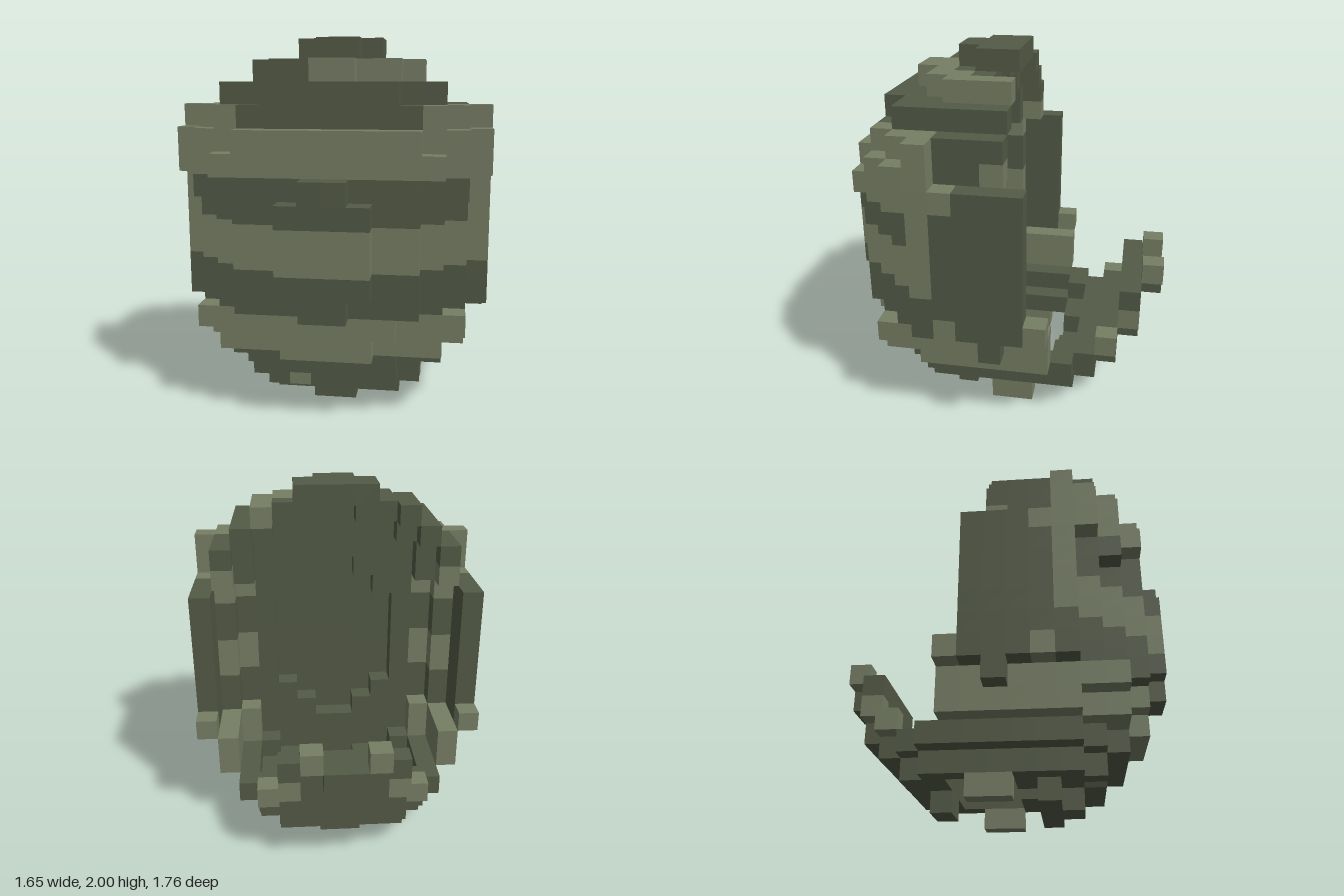
import * as THREE from 'three';
import { mergeGeometries } from 'three/addons/utils/BufferGeometryUtils.js';

const S = 2 / 17; // edge of one cube

// Cross-section of each layer from the bottom up: half widths of the rows
// from the middle (z = 0) outwards, mirrored front to back.
const LAYERS = [
  '4431', '44443', '555543', '6666552', '7666663', '77776541',
  '77776542', '77776542', '77776542', '77776542', '77776641',
  '7777765', '6667764', '666765', '555553', '44431', '221',
];
// Half widths of the lip that rises behind the opening, by layer
const LIP = { 3: 4, 4: 3, 5: 3, 6: 2 };
const LIGHT_BANDS = [3, 4, 7, 8, 11, 12];
const DIRS = [[1, 0, 0], [-1, 0, 0], [0, 1, 0], [0, -1, 0], [0, 0, 1], [0, 0, -1]];

const column = (i) => (i >= 0 ? i + 1 : -i); // 1 is next to the middle
const halfWidth = (j, k) => Number(LAYERS[j][Math.abs(k)] ?? 0);

// Egg-shaped hollow, set towards the back and open below
function hollow(i, j, k) {
  if (j === 16 || (j > 0 && column(i) === halfWidth(j, k))) return false;
  const x = (i + 0.5) / 6.3;
  const y = (Math.max(j, 1) - 8) / 8.6;
  const z = (k + 1) / 3.5;
  return x * x + y * y + z * z < 1;
}

// Feet with gaps between them, the open back, and the lip behind it
function kept(i, j, k) {
  const a = column(i);
  if (j === 0) {
    if (k === 0 || k === -1) return a === 4;
    return k === 2 || k === 3 || k === -3;
  }
  if (j <= 2) return true;
  if (j === 6 && k === -7) return a === 2;
  if (k <= -5 && LIP[j]) return a <= LIP[j] && (j < 4 || k <= -6) && (j < 6 || k === -7);
  if (j <= 5) return k >= -2;
  return k >= (j < 12 ? -1 : 0);
}

function partAt(i, j, k) {
  if (j === 0) return 'feet';
  if (j >= 3 && k <= -5) return 'backLip';
  if (column(i) === 7) return 'sidePanels';
  if (k === 7) return 'frontPlate';
  if (j >= 13) return 'crown';
  return j <= 2 ? 'base' : 'bandedWall';
}

function isLight(i, j, k) {
  const a = column(i);
  const x = i >= 0 ? a : -a;
  if (j === 0) return k === 0 || k === -1;
  if (j === 1) return x === -2 && k === 4;
  if (j >= 3 && k <= -5) return j !== 5 && a === LIP[j];
  if (a === 7) {
    return (k >= 3 && j >= 7) || (j === 5 && Math.abs(k) === 2) || (j === 11 && k === 2);
  }
  if (j === 12 && (k === 1 || k === 2)) return false;
  if (j === 13) return a >= 5 && k >= 3;
  if (j === 15) return x >= 4 || (k === 2 && x > 2) || (k >= 3 && x >= -1);
  // the bands stop short of the dark middle of the hollow
  return LIGHT_BANDS.includes(j) && (a >= 5 || k >= 5);
}

export function createModel() {
  const group = new THREE.Group();
  const darkOlive = new THREE.MeshStandardMaterial({ color: 0x535a46 });
  darkOlive.name = 'darkOlive';
  const lightOlive = new THREE.MeshStandardMaterial({ color: 0x767e64 });
  lightOlive.name = 'lightOlive';

  // Choose the cubes of the pod
  const cubes = new Map();
  const key = (i, j, k) => `${i},${j},${k}`;
  for (let j = 0; j < 17; j++) {
    for (let k = -7; k <= 7; k++) {
      const w = halfWidth(j, k);
      for (let i = -w; i < w; i++) {
        if (hollow(i, j, k) && j > 0) continue;
        if (!kept(i, j, k)) continue;
        cubes.set(key(i, j, k), { at: [i, j, k], part: partAt(i, j, k), light: isLight(i, j, k) });
      }
    }
  }

  // One square for each exposed side of a cube
  const squares = DIRS.map((d) => {
    const n = new THREE.Vector3(...d);
    const q = new THREE.Quaternion().setFromUnitVectors(new THREE.Vector3(0, 0, 1), n);
    return new THREE.PlaneGeometry(S, S).translate(0, 0, S / 2).applyQuaternion(q);
  });
  const parts = {};
  for (const { at: [i, j, k], part, light } of cubes.values()) {
    const pieces = (parts[part] ??= { dark: [], light: [] })[light ? 'light' : 'dark'];
    DIRS.forEach(([x, y, z], n) => {
      if (cubes.has(key(i + x, j + y, k + z))) return;
      pieces.push(squares[n].clone().translate((i + 0.5) * S, (j + 0.5) * S, k * S));
    });
  }

  // One group for each part, one mesh for each of its colours
  for (const [name, tones] of Object.entries(parts)) {
    const part = new THREE.Group();
    part.name = name;
    for (const [tone, pieces] of Object.entries(tones)) {
      if (!pieces.length) continue;
      const mesh = new THREE.Mesh(mergeGeometries(pieces), tone === 'light' ? lightOlive : darkOlive);
      mesh.name = `${name} ${tone}`;
      part.add(mesh);
    }
    group.add(part);
  }
  return group;
}
